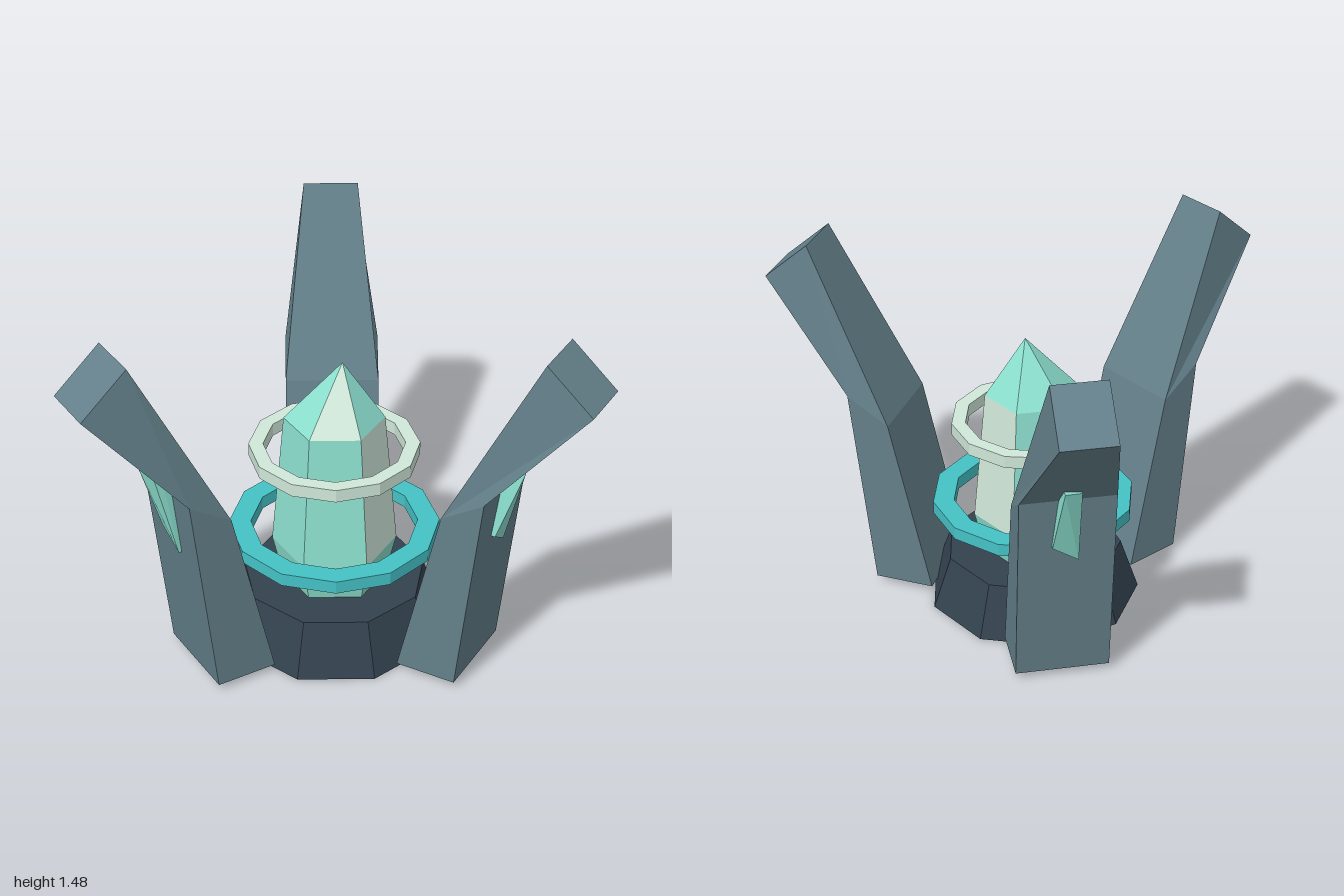
import * as THREE from 'three';
import { ConvexGeometry } from 'three/addons/geometries/ConvexGeometry.js';

const material = (color, extra = {}) => new THREE.MeshStandardMaterial({ color, flatShading: true, ...extra });
const slate = material(0x64808a);
const darkStone = material(0x33424f);
const mint = material(0x8ce0cf);
const pale = material(0xd0e8da);
const teal = material(0x45c2c6);

function addMesh(parent, name, geometry, mat) {
  const mesh = new THREE.Mesh(geometry, mat);
  mesh.name = name;
  parent.add(mesh);
  return mesh;
}

// Flat band with a rectangular section, twelve sides
function ringGeometry(inner, outer, bottom, top) {
  const section = [[inner, bottom], [outer, bottom], [outer, top], [inner, top], [inner, bottom]];
  return new THREE.LatheGeometry(section.map(([r, y]) => new THREE.Vector2(r, y)), 12).toNonIndexed();
}

// Six-sided crystal: rings of [radius, height, x shift]; chosen facets go to the pale set
function crystal() {
  const group = new THREE.Group();
  group.name = 'crystal';
  const rings = [[0.2, 0.2, 0], [0.243, 0.385, 0], [0.193, 0.935, 0], [0, 1.175, 0.03]];
  const paleFacets = ['0:3', '1:1', '1:2', '2:0'];
  const sets = { mint: [], pale: [] };
  const corner = ([r, y, dx], a) => [r * Math.sin(a) + dx, y, r * Math.cos(a)];
  for (let band = 0; band < 3; band++) {
    for (let k = 0; k < 6; k++) {
      const a0 = (k - 0.5) * Math.PI / 3, a1 = (k + 0.5) * Math.PI / 3;
      const low = rings[band], high = rings[band + 1];
      const out = paleFacets.includes(`${band}:${k}`) ? sets.pale : sets.mint;
      out.push(...corner(low, a0), ...corner(low, a1), ...corner(high, a1));
      if (high[0] > 0) out.push(...corner(low, a0), ...corner(high, a1), ...corner(high, a0));
    }
  }
  for (const [key, mat] of [['mint', mint], ['pale', pale]]) {
    const geometry = new THREE.BufferGeometry();
    geometry.setAttribute('position', new THREE.Float32BufferAttribute(sets[key], 3));
    geometry.computeVertexNormals();
    addMesh(group, `${key}CrystalFacets`, geometry, mat);
  }
  return group;
}

// Bent pylon leaning outward along +z, tapering above the bend
function pylonGeometry() {
  const geometry = new THREE.BoxGeometry(2, 2, 2, 1, 2, 1);
  // [half width, inner z, inner y, outer z, outer y]
  const levels = [
    [0.187, 0.38, 0.03, 0.625, 0.03],
    [0.187, 0.55, 0.766, 0.72, 0.876],
    [0.108, 0.9, 1.475, 1.085, 1.313],
  ];
  const p = geometry.attributes.position;
  for (let i = 0; i < p.count; i++) {
    const [w, zi, yi, zo, yo] = levels[Math.round(p.getY(i)) + 1];
    const outer = p.getZ(i) > 0;
    p.setXYZ(i, p.getX(i) * w, outer ? yo : yi, outer ? zo : zi);
  }
  const flat = geometry.toNonIndexed();
  flat.computeVertexNormals();
  return flat;
}

// Shard set across the outer bend of a pylon
function shardGeometry() {
  const face = [[-0.03, 0.955, 0.81], [0.04, 0.94, 0.785], [0.045, 0.88, 0.745], [0.045, 0.59, 0.70], [-0.058, 0.66, 0.712]];
  const points = face.flatMap(([x, y, z]) => [
    new THREE.Vector3(x, y, z),
    new THREE.Vector3(x, y, z - 0.06),
  ]);
  return new ConvexGeometry(points);
}

export function createModel() {
  const model = new THREE.Group();
  model.name = 'crystalShrine';
  const shrine = new THREE.Group();
  shrine.name = 'shrine';
  shrine.position.z = 0.225;
  model.add(shrine);

  // Nine-sided plinth
  const base = addMesh(shrine, 'base', new THREE.CylinderGeometry(0.36, 0.435, 0.22, 9), darkStone);
  base.position.y = 0.11;
  base.rotation.y = Math.PI;

  // Crystal and the bands floating around it
  shrine.add(crystal());
  addMesh(shrine, 'lowerRing', ringGeometry(0.325, 0.41, 0.41, 0.463), teal);
  addMesh(shrine, 'upperRing', ringGeometry(0.272, 0.328, 0.768, 0.82), pale);

  // Three pylons, each with its shard
  const pylon = pylonGeometry();
  const shard = shardGeometry();
  [['left', Math.PI / 3], ['back', Math.PI], ['right', -Math.PI / 3]].forEach(([side, angle]) => {
    const arm = new THREE.Group();
    arm.name = `${side}Pylon`;
    arm.rotation.y = angle;
    addMesh(arm, `${side}PylonBody`, pylon, slate);
    addMesh(arm, `${side}PylonShard`, shard, mint);
    shrine.add(arm);
  });
  return model;
}
